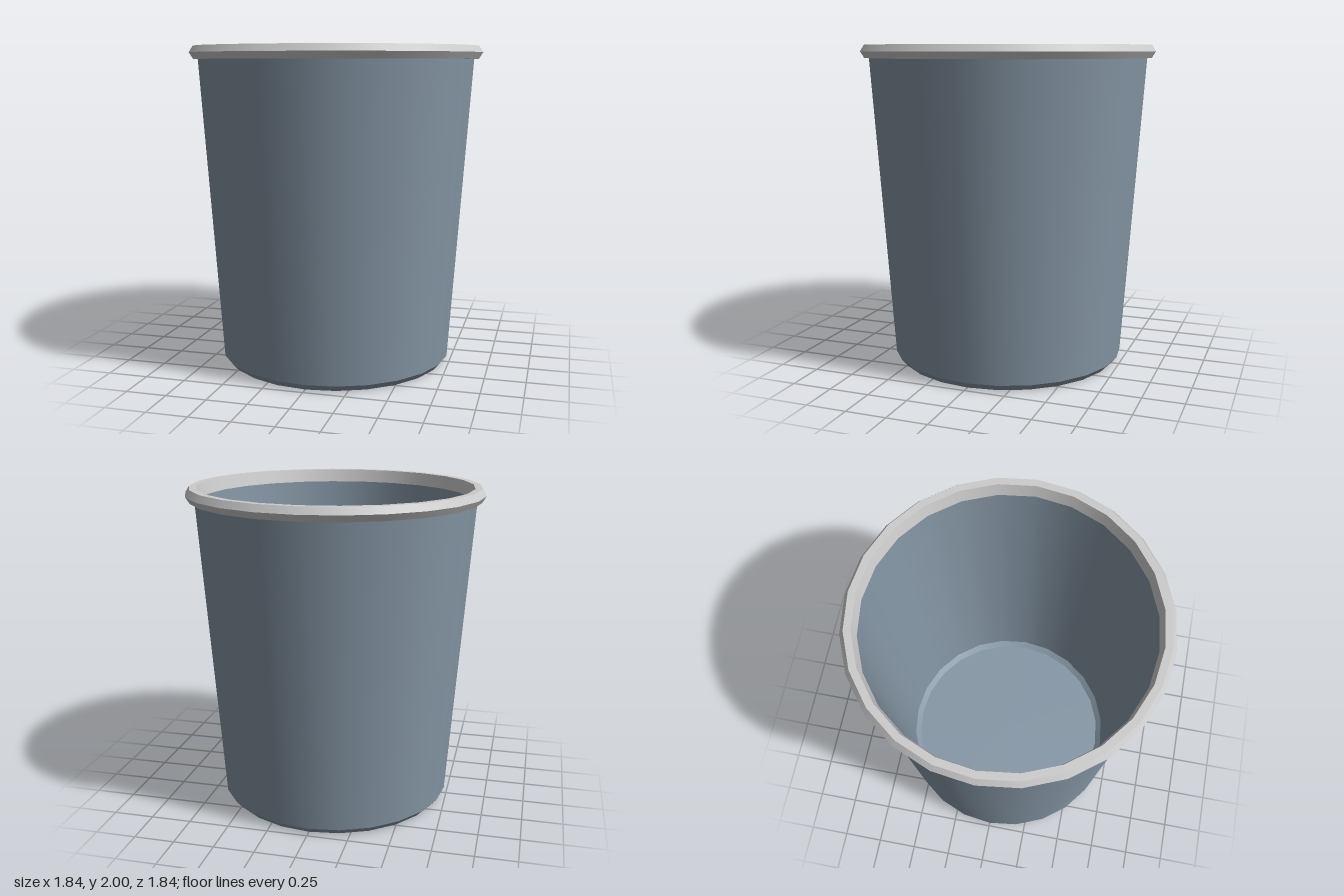
import * as THREE from 'three';
import { mergeGeometries } from 'three/addons/utils/BufferGeometryUtils.js';

const SIDES = 24;

// Turned part: smooth around the axis, hard edge at every profile point
function turned(name, profile, color) {
  const bands = [];
  for (let i = 0; i < profile.length - 1; i++) {
    const pair = [profile[i], profile[i + 1]].map(([r, y]) => new THREE.Vector2(r, y));
    bands.push(new THREE.LatheGeometry(pair, SIDES));
  }
  const mesh = new THREE.Mesh(mergeGeometries(bands), new THREE.MeshStandardMaterial({ color }));
  mesh.name = name;
  return mesh;
}

export function createModel() {
  const group = new THREE.Group();
  group.name = 'bin';

  // Outside: base, bottom chamfer and tapered wall
  group.add(turned('outerShell', [[0, 0], [0.70, 0], [0.735, 0.04], [0.865, 1.92]], 0x8596a5));

  // Inside: tapered wall, bottom chamfer and floor
  group.add(turned('innerShell', [[0.83, 1.92], [0.69, 0.07], [0.655, 0.04], [0, 0.04]], 0x8596a5));

  // Rolled rim with an angular outer edge
  group.add(turned('rim', [
    [0.83, 1.92], [0.893, 1.92], [0.918, 1.96], [0.893, 2], [0.85, 2], [0.83, 1.92],
  ], 0xcccccc));

  return group;
}
